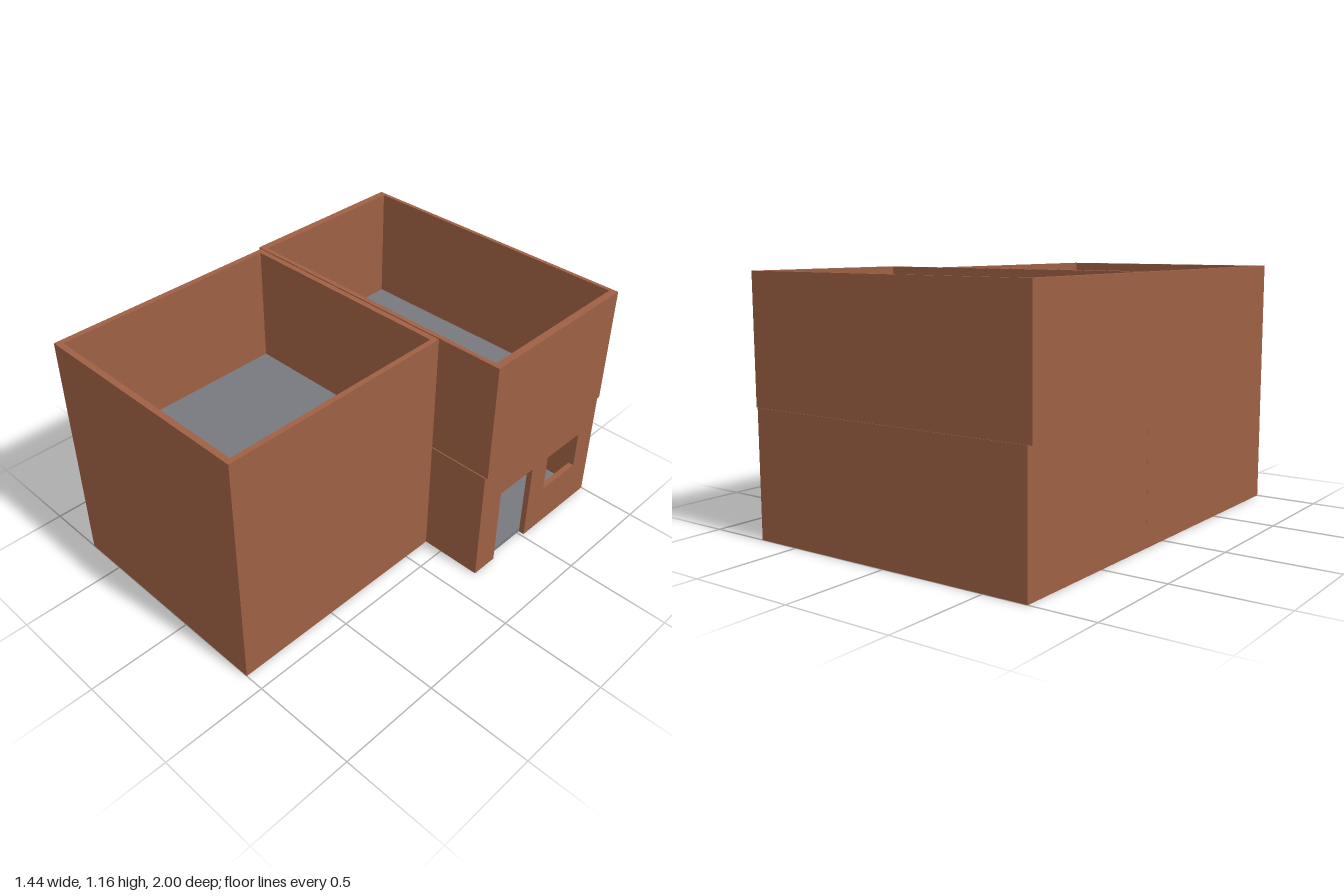
import * as THREE from 'three';

const brick = new THREE.MeshStandardMaterial({ color: 0x9e6044 });
brick.name = 'brick';
const concrete = new THREE.MeshStandardMaterial({ color: 0x77797e });
concrete.name = 'concrete';

// Closed outline from [x, y] points
function trace(path, points) {
  points.forEach(([x, y], i) => (i ? path.lineTo(x, y) : path.moveTo(x, y)));
  path.closePath();
  return path;
}
const rect = (x0, x1, y0, y1) => [[x0, y0], [x1, y0], [x1, y1], [x0, y1]];

function add(group, name, geometry, material) {
  const mesh = new THREE.Mesh(geometry, material);
  mesh.name = name;
  group.add(mesh);
  return mesh;
}

// Box given by its limits on each axis
function block(group, name, [x0, x1], [y0, y1], [z0, z1], material) {
  const mesh = add(group, name, new THREE.BoxGeometry(x1 - x0, y1 - y0, z1 - z0), material);
  mesh.position.set((x0 + x1) / 2, (y0 + y1) / 2, (z0 + z1) / 2);
}

// Four walls around an open room, extruded upwards from a plan with a hole
function wallRing(group, name, outer, inner, y0, y1) {
  const plan = ([x0, x1, z0, z1]) => rect(x0, x1, -z1, -z0);
  const shape = trace(new THREE.Shape(), plan(outer));
  shape.holes.push(trace(new THREE.Path(), plan(inner)));
  const geometry = new THREE.ExtrudeGeometry(shape, { depth: y1 - y0, bevelEnabled: false });
  geometry.rotateX(-Math.PI / 2).translate(0, y0, 0);
  add(group, name, geometry, brick);
}

export function createModel() {
  const house = new THREE.Group();
  house.name = 'house';

  // Tall front wing, open at the top, with a floor on each storey
  const front = new THREE.Group();
  front.name = 'frontWing';
  wallRing(front, 'frontWingWalls', [-0.705, 0.407, -0.143, 1], [-0.677, 0.382, -0.116, 0.972], 0, 1.16);
  for (const [name, y] of [['frontGroundFloor', 0.002], ['frontUpperFloor', 0.57]]) {
    block(front, name, [-0.677, 0.382], [y, y + 0.02], [-0.116, 0.972], concrete);
  }
  house.add(front);

  // Lower rear wing
  const lower = new THREE.Group();
  lower.name = 'rearLowerStorey';
  const height = [0, 0.58];
  block(lower, 'rearWall', [-0.705, 0.682], height, [-1, -0.972], brick);
  block(lower, 'dividingWall', [-0.705, 0.682], height, [-0.171, -0.1435], brick);
  block(lower, 'sideWall', [-0.705, -0.677], height, [-0.972, -0.171], brick);
  block(lower, 'rearGroundFloor', [-0.677, 0.682], [0.002, 0.02], [-0.972, -0.171], concrete);

  // Entrance wall, drawn with -z across, notched for the door and holed for the window
  const entrance = trace(new THREE.Shape(), [
    [0.1435, 0], [0.28, 0], [0.28, 0.41], [0.515, 0.41], [0.515, 0], [1, 0], [1, 0.58], [0.1435, 0.58],
  ]);
  entrance.holes.push(trace(new THREE.Path(), rect(0.633, 0.88, 0.22, 0.413)));
  const entranceGeometry = new THREE.ExtrudeGeometry(entrance, { depth: 0.028, bevelEnabled: false });
  entranceGeometry.rotateY(Math.PI / 2).translate(0.682, 0, 0);
  add(lower, 'entranceWall', entranceGeometry, brick);
  house.add(lower);

  // Slightly wider upper rear storey, open at the top
  const upper = new THREE.Group();
  upper.name = 'rearUpperStorey';
  wallRing(upper, 'rearUpperWalls', [-0.723, 0.72, -0.997, -0.149], [-0.687, 0.685, -0.978, -0.171], 0.58, 1.16);
  block(upper, 'rearUpperFloor', [-0.687, 0.685], [0.5805, 0.6], [-0.978, -0.171], concrete);
  house.add(upper);

  return house;
}
